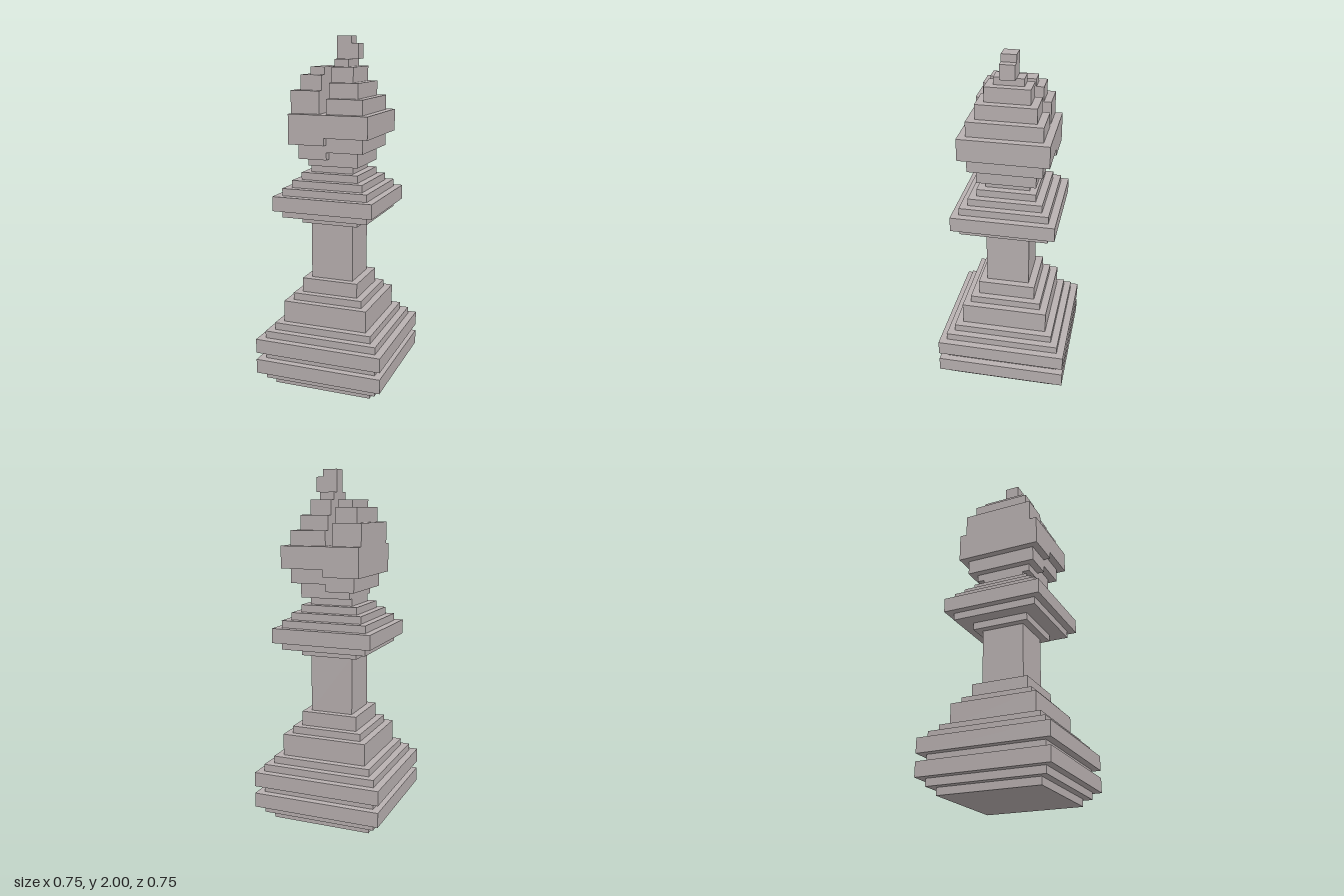
import * as THREE from 'three';

const U = 1 / 24; // one block of the stepped grid

export function createModel() {
  const model = new THREE.Group();
  const stone = new THREE.MeshStandardMaterial({ color: 0xb9b1b1 });
  stone.name = 'warm grey stone';

  // Box slab given by its limits in blocks, centred on z
  function slab(group, name, x0, x1, y0, y1, halfZ) {
    const geometry = new THREE.BoxGeometry((x1 - x0) * U, (y1 - y0) * U, 2 * halfZ * U);
    const mesh = new THREE.Mesh(geometry, stone);
    mesh.position.set(((x0 + x1) / 2) * U, ((y0 + y1) / 2) * U, 0);
    mesh.name = name;
    group.add(mesh);
  }

  function part(name) {
    const group = new THREE.Group();
    group.name = name;
    model.add(group);
    return group;
  }

  // Stack of square slabs: [height, half width], returns the top level
  function squareStack(name, y, steps) {
    const group = part(name);
    for (const [h, r] of steps) {
      slab(group, name + 'Step', -r, r, y, y + h, r);
      y += h;
    }
    return y;
  }

  let y = squareStack('base', 0, [
    [1, 7], [1, 8], [2, 9], [1, 8], [2, 9], [1, 8], [1, 7], [3, 6], [1, 5], [2, 4],
  ]);
  y = squareStack('stem', y, [[8, 3]]);
  y = squareStack('collar', y, [[1, 4], [1, 6], [2, 7], [1, 6], [1, 5], [1, 4]]);
  const headBottom = squareStack('neck', y, [[1, 3]]);

  // Larger half of the head: [height, half width]
  const leftHead = part('leftHead');
  y = headBottom;
  for (const [h, r] of [[2, 4], [2, 5], [3, 6], [2, 5], [2, 4], [2, 3], [1, 2]]) {
    slab(leftHead, 'leftHeadStep', 0, r, y, y + h, r);
    y += h;
  }

  // Finial on the larger half
  const finial = part('finial');
  slab(finial, 'finialBody', 0, 3, y, y + 2, 1);
  slab(finial, 'finialTip', 0, 2, y + 2, y + 3, 1);

  // Smaller half: [height, outer x, half depth, inner x]; the upper steps leave a slot
  const rightHead = part('rightHead');
  y = headBottom;
  for (const [h, x, z, inner] of [
    [1, 3, 4, 0], [2, 4, 5, 0], [4, 5, 6, 0], [3, 5, 5, 1], [2, 4, 4, 1], [1, 3, 3, 1],
  ]) {
    slab(rightHead, 'rightHeadStep', -x, -inner, y, y + h, z);
    y += h;
  }

  return model;
}
